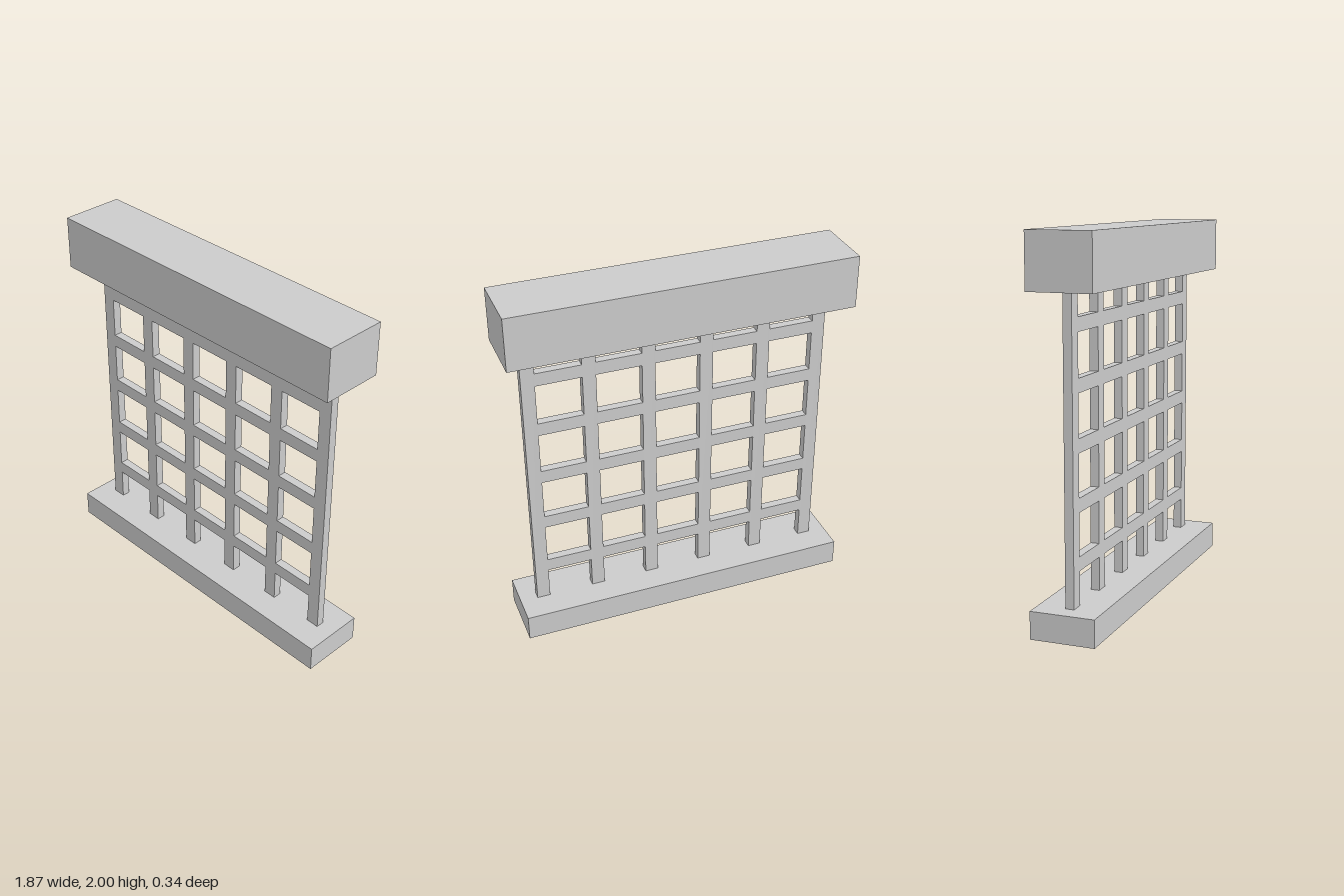
import * as THREE from 'three';

export function createModel() {
  const model = new THREE.Group();
  const material = new THREE.MeshStandardMaterial({ color: 0xcccccc, flatShading: true });

  function addBox(parent, name, width, height, depth, x, y) {
    const mesh = new THREE.Mesh(new THREE.BoxGeometry(width, height, depth), material);
    mesh.name = name;
    mesh.position.set(x, y, 0);
    parent.add(mesh);
  }

  // Heavy sill and lintel
  const baseTop = 0.146, lintelBottom = 1.71;
  const beamWidth = 1.87, beamDepth = 0.345;
  addBox(model, 'baseBeam', beamWidth, baseTop, beamDepth, 0, baseTop / 2);
  addBox(model, 'topBeam', beamWidth, 2 - lintelBottom, beamDepth, 0, (2 + lintelBottom) / 2);

  // Flush lattice between the beams
  const lattice = new THREE.Group();
  lattice.name = 'lattice';
  model.add(lattice);
  const columns = 6, rows = 5, barWidth = 0.073, barDepth = 0.047;
  const columnPitch = 0.321, rowPitch = 0.297, firstRow = 0.36;
  const columnX = (i) => (i - (columns - 1) / 2) * columnPitch;

  // Upright bars
  for (let i = 0; i < columns; i++) {
    addBox(lattice, 'uprightBar', barWidth, lintelBottom - baseTop, barDepth,
      columnX(i), (baseTop + lintelBottom) / 2);
  }

  // Cross bars, fitted between neighbouring uprights
  for (let j = 0; j < rows; j++) {
    for (let i = 0; i < columns - 1; i++) {
      addBox(lattice, 'crossBar', columnPitch - barWidth, barWidth, barDepth,
        columnX(i + 0.5), firstRow + j * rowPitch);
    }
  }
  return model;
}
